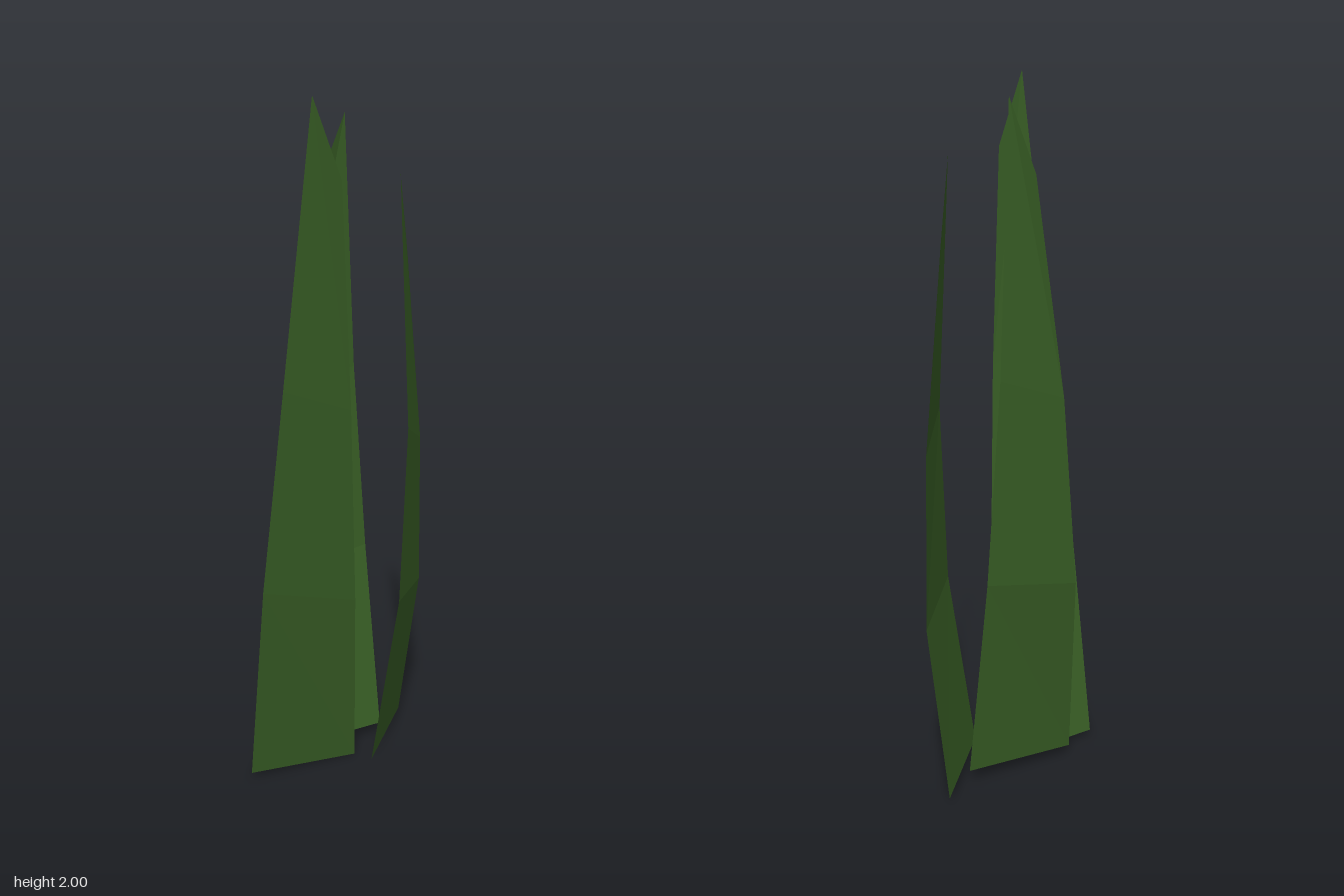
import * as THREE from 'three';

const material = new THREE.MeshStandardMaterial({
  color: 0x385e25, flatShading: true, side: THREE.DoubleSide,
});

// A thin leaf lofted between two edges, each running from base to top:
// one edge ends in the tip, the other in the lower shoulder of the slanted cut.
function blade(name, tipEdge, shoulderEdge, flip) {
  const positions = tipEdge.flatMap((p, i) => [...p, ...shoulderEdge[i]]);
  const index = [];
  for (let i = 0; i < tipEdge.length - 1; i++) {
    const t = 2 * i, s = t + 1, t2 = t + 2, s2 = t + 3;
    index.push(...(flip ? [t, t2, s, s, t2, s2] : [t, s, t2, s, s2, t2]));
  }
  const geometry = new THREE.BufferGeometry();
  geometry.setAttribute('position', new THREE.Float32BufferAttribute(positions, 3));
  geometry.setIndex(index);
  geometry.computeVertexNormals();
  const mesh = new THREE.Mesh(geometry, material);
  mesh.name = name;
  return mesh;
}

export function createModel() {
  const group = new THREE.Group();
  group.name = 'grassTuft';

  // Tall wide blade leaning forward
  group.add(blade('frontBlade',
    [[-0.305, 0.02, -0.055], [-0.3, 0.65, 0.05], [-0.265, 1.25, 0.13], [-0.205, 2, 0.195]],
    [[0.035, 0, -0.04], [-0.01, 0.57, 0.05], [-0.06, 1.17, 0.12], [-0.112, 1.79, 0.17]], false));

  // Back blade, bowed backward, tip on the opposite edge
  group.add(blade('backBlade',
    [[0.162, 0.04, -0.11], [0.147, 0.63, -0.185], [0.113, 1.2, -0.197], [0.065, 1.93, -0.16]],
    [[-0.182, 0.03, -0.117], [-0.148, 0.58, -0.187], [-0.095, 1.13, -0.193], [-0.027, 1.73, -0.15]], true));

  // Short blade turned to the side
  group.add(blade('sideBlade',
    [[0.04, 0.035, 0.062], [0.108, 0.56, 0.1], [0.14, 1.08, 0.083], [0.14, 1.78, 0.022]],
    [[0.275, 0.025, -0.19], [0.303, 0.51, -0.12], [0.272, 0.99, -0.075], [0.2, 1.54, -0.038]], false));

  return group;
}
